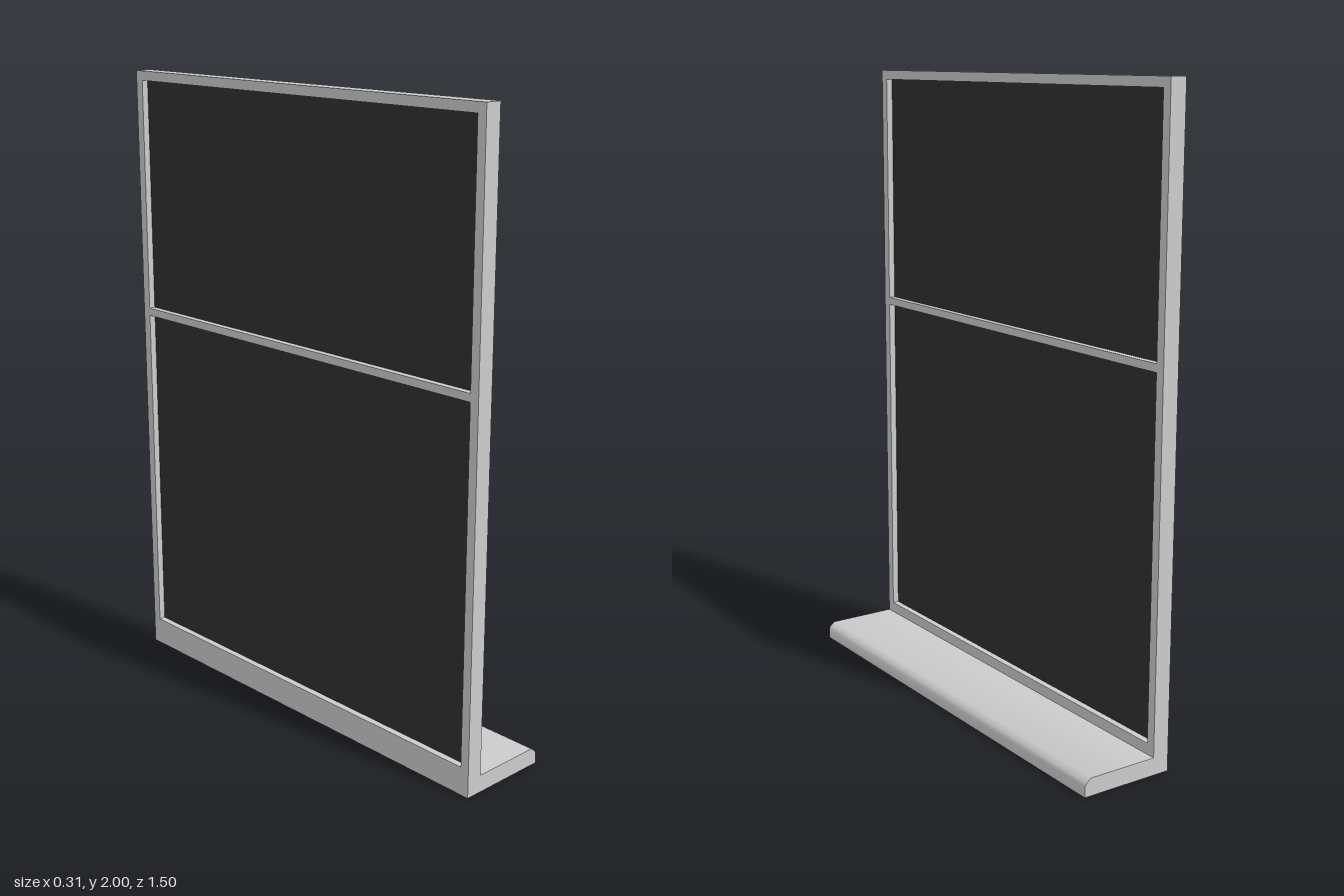
import * as THREE from 'three';
import { toCreasedNormals } from 'three/addons/utils/BufferGeometryUtils.js';

const HALF_W = 0.75;   // half width along z
const X_BACK = -0.153; // outer face of the frame
const X_FACE = -0.099; // inner face of the frame
const X_MID = (X_BACK + X_FACE) / 2;
const SILL_TOP = 0.055;
const OPEN_W = 0.72;   // half width of the openings
const PANES = [
  { name: 'lowerPane', y0: 0.09, y1: 1.195 },
  { name: 'upperPane', y0: 1.22, y1: 1.97 },
];

function rectangle(path, x0, y0, x1, y1) {
  return path.moveTo(x0, y0).lineTo(x1, y0).lineTo(x1, y1).lineTo(x0, y1).closePath();
}

export function createModel() {
  const group = new THREE.Group();
  const grey = new THREE.MeshStandardMaterial({ color: 0xcccccc });
  const dark = new THREE.MeshStandardMaterial({ color: 0x303030 });

  // Frame with its cross rail: a slab with two openings, turned to face x
  const outline = rectangle(new THREE.Shape(), -HALF_W, 0, HALF_W, 2);
  for (const { y0, y1 } of PANES) {
    outline.holes.push(rectangle(new THREE.Path(), -OPEN_W, y0, OPEN_W, y1));
  }
  const frameGeometry = new THREE.ExtrudeGeometry(outline, {
    depth: X_FACE - X_BACK, bevelEnabled: false,
  });
  frameGeometry.rotateY(Math.PI / 2).translate(X_BACK, 0, 0);
  const frame = new THREE.Mesh(frameGeometry, grey);
  frame.name = 'frame';
  group.add(frame);

  // Thin dark panes set in the middle of the frame's depth
  for (const { name, y0, y1 } of PANES) {
    const pane = new THREE.Mesh(new THREE.BoxGeometry(0.012, y1 - y0, 2 * OPEN_W), dark);
    pane.position.set(X_MID, (y0 + y1) / 2, 0);
    pane.name = name;
    group.add(pane);
  }

  // Sill with a softened upper nose
  const profile = new THREE.Shape()
    .moveTo(X_FACE, 0)
    .lineTo(0.153, 0)
    .lineTo(0.153, 0.034)
    .lineTo(0.147, 0.043)
    .lineTo(0.132, SILL_TOP)
    .lineTo(X_FACE, SILL_TOP)
    .closePath();
  const sillGeometry = new THREE.ExtrudeGeometry(profile, {
    depth: 2 * HALF_W, bevelEnabled: false,
  });
  sillGeometry.translate(0, 0, -HALF_W);
  const sill = new THREE.Mesh(toCreasedNormals(sillGeometry, 1.1), grey);
  sill.name = 'sill';
  group.add(sill);

  return group;
}
